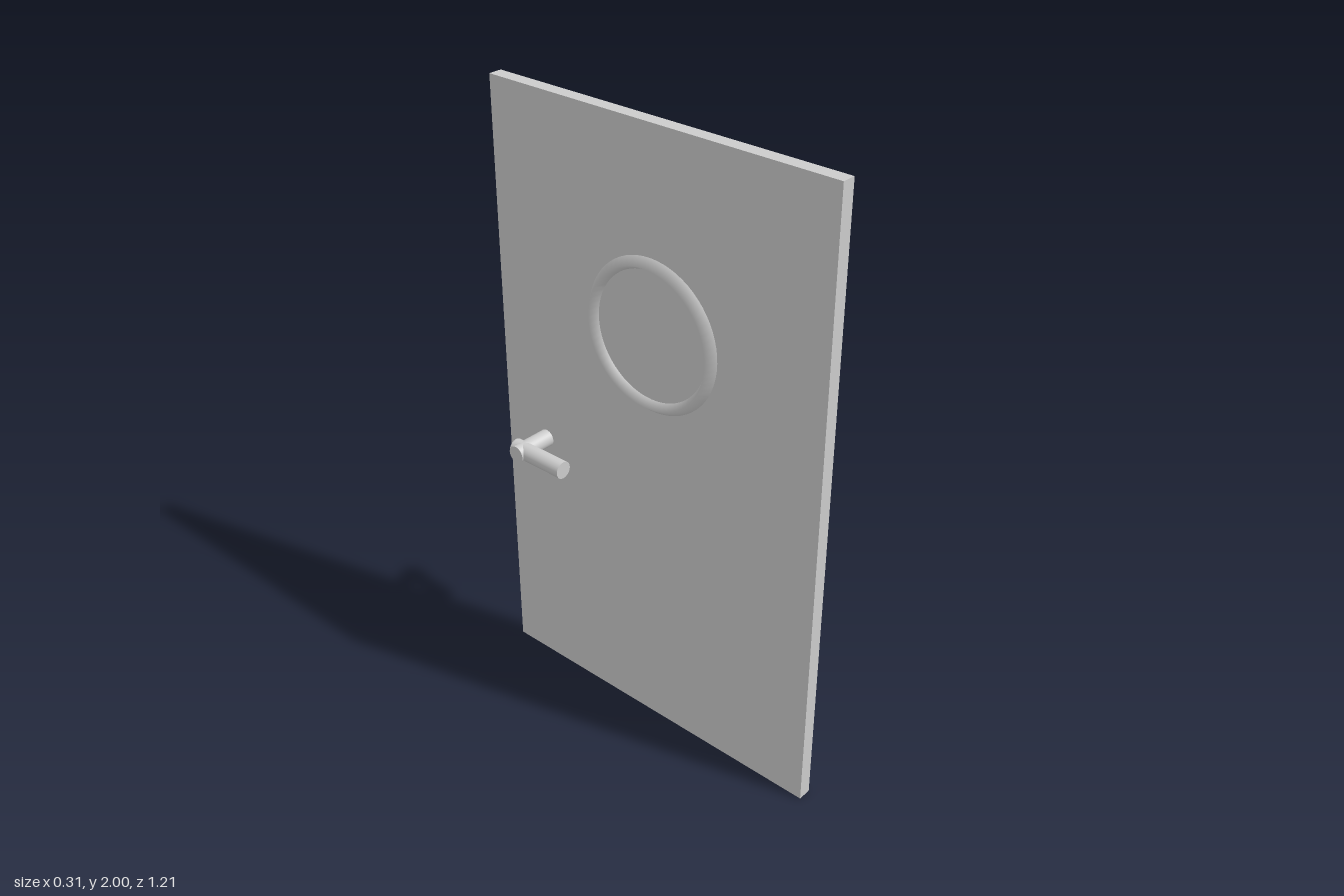
import * as THREE from 'three';

export function createModel() {
  const group = new THREE.Group();
  const material = new THREE.MeshStandardMaterial({ color: 0xcccccc });
  const add = (name, geometry) => {
    const mesh = new THREE.Mesh(geometry, material);
    mesh.name = name;
    group.add(mesh);
    return mesh;
  };

  // Door slab, thin in x
  add('doorPanel', new THREE.BoxGeometry(0.044, 2, 1.214)).position.y = 1;

  // Round window trim standing proud on both faces
  const profile = [[0.199, 0.018], [0.217, 0.05], [0.243, 0.018]]
    .map(([r, h]) => new THREE.Vector2(r, h)).reverse();
  for (const side of [1, -1]) {
    const ring = add(side > 0 ? 'leftWindowRing' : 'rightWindowRing',
      new THREE.LatheGeometry(profile, 64));
    ring.rotation.z = -side * Math.PI / 2;
    ring.position.y = 1.378;
  }

  // Spindle through the door with a lever on each side
  const handleY = 0.869;
  const spindle = add('handleSpindle', new THREE.CylinderGeometry(0.028, 0.028, 0.314, 32));
  spindle.rotation.z = Math.PI / 2;
  spindle.position.set(0, handleY, -0.44);
  for (const side of [1, -1]) {
    const lever = add(side > 0 ? 'leftLever' : 'rightLever',
      new THREE.CylinderGeometry(0.028, 0.028, 0.205, 32));
    lever.rotation.x = Math.PI / 2;
    lever.position.set(side * 0.124, handleY, -0.37);
  }

  return group;
}
